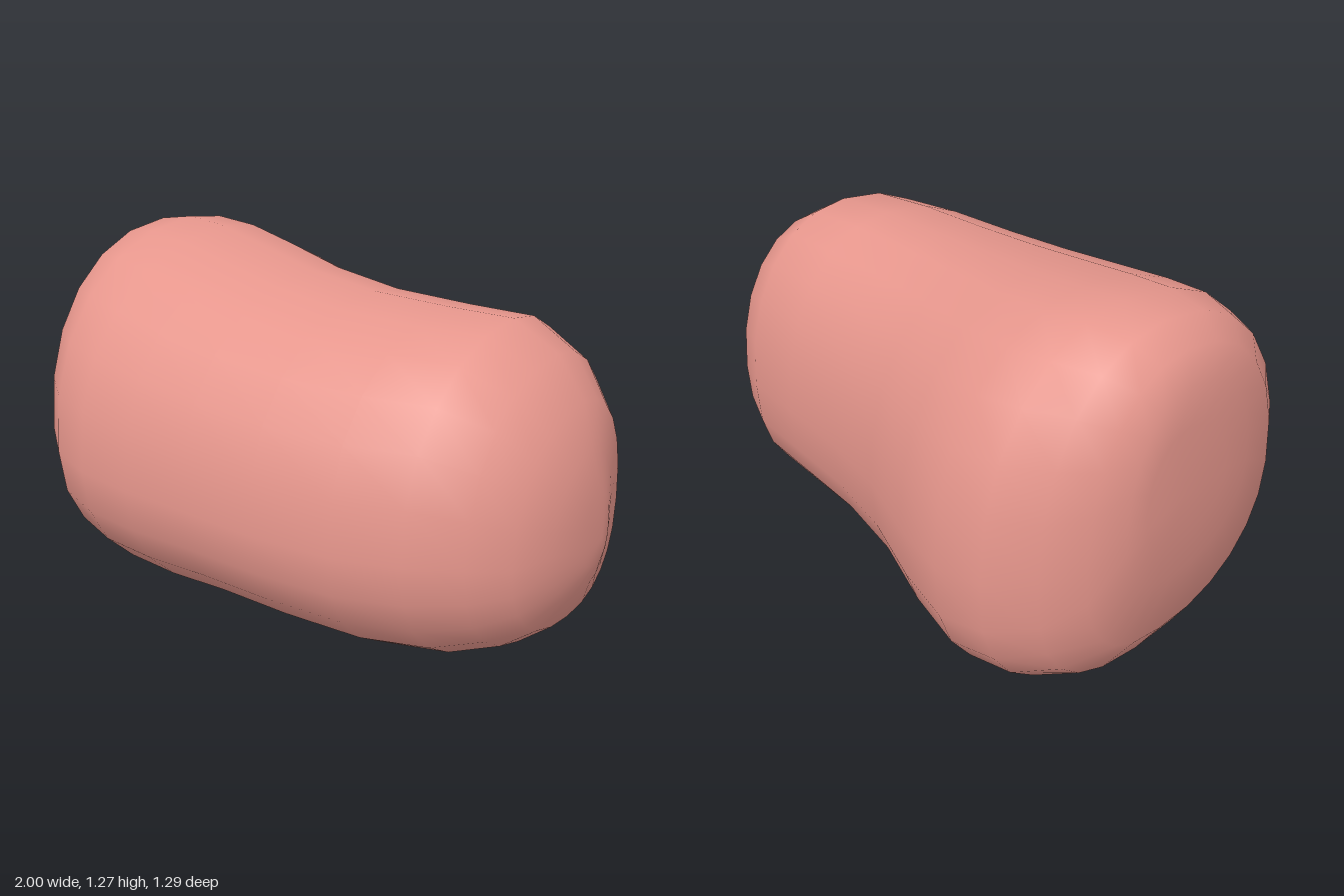
import * as THREE from 'three';

// Cross-sections along x: [x, top y, bottom y, front z, back z]
const SECTIONS = [
  [-0.995, 0.98, 0.6, 0.1, -0.24],
  [-0.98, 1.1, 0.46, 0.22, -0.3],
  [-0.94, 1.19, 0.22, 0.39, -0.41],
  [-0.86, 1.25, 0.09, 0.51, -0.52],
  [-0.73, 1.27, 0.025, 0.6, -0.62],
  [-0.57, 1.255, 0, 0.637, -0.65],
  [-0.35, 1.22, 0.01, 0.644, -0.6],
  [-0.1, 1.18, 0.042, 0.64, -0.52],
  [0.17, 1.155, 0.05, 0.628, -0.47],
  [0.45, 1.15, 0.055, 0.597, -0.455],
  [0.67, 1.145, 0.08, 0.535, -0.455],
  [0.82, 1.06, 0.14, 0.44, -0.4],
  [0.91, 0.93, 0.21, 0.33, -0.33],
  [0.97, 0.8, 0.34, 0.21, -0.16],
  [0.99, 0.66, 0.42, 0.06, -0.11],
];
const SIDES = 24;

// Rounded-square power curve: larger exponent gives fuller corners
const bulge = (v, exponent) => Math.sign(v) * Math.abs(v) ** (2 / exponent);

function bodyGeometry() {
  const points = [];
  const index = [];

  // Rings, each made of four quadrants meeting at an off-centre axis
  for (const [x, top, bottom, front, back] of SECTIONS) {
    const cy = bottom + (top - bottom) * 0.43;
    const cz = back + (front - back) * 0.435;
    for (let j = 0; j < SIDES; j++) {
      const a = (j / SIDES) * Math.PI * 2;
      const c = Math.cos(a);
      const s = Math.sin(a);
      const exponent = c < 0 && s < 0 ? 2.5 : 2.15;
      const y = cy + bulge(s, exponent) * (s > 0 ? top - cy : cy - bottom);
      const z = cz + bulge(c, exponent) * (c > 0 ? front - cz : cz - back);
      points.push(x, y, z);
    }
  }

  // Skin between rings
  const last = SECTIONS.length - 1;
  for (let i = 0; i < last; i++) {
    for (let j = 0; j < SIDES; j++) {
      const k = (j + 1) % SIDES;
      const a = i * SIDES + j, b = i * SIDES + k;
      const c = a + SIDES, d = b + SIDES;
      index.push(a, c, b, b, c, d);
    }
  }

  // Shallow domed ends
  const leftPole = points.length / 3;
  points.push(-1, 0.76, -0.08, 1, 0.51, -0.05);
  for (let j = 0; j < SIDES; j++) {
    const k = (j + 1) % SIDES;
    index.push(leftPole, j, k);
    index.push(leftPole + 1, last * SIDES + k, last * SIDES + j);
  }

  const geometry = new THREE.BufferGeometry();
  geometry.setAttribute('position', new THREE.Float32BufferAttribute(points, 3));
  geometry.setIndex(index);
  geometry.computeVertexNormals();
  return geometry;
}

export function createModel() {
  const group = new THREE.Group();
  group.name = 'softLump';
  const body = new THREE.Mesh(bodyGeometry(), new THREE.MeshStandardMaterial({ color: 0xe6968c }));
  body.name = 'body';
  group.add(body);
  return group;
}
